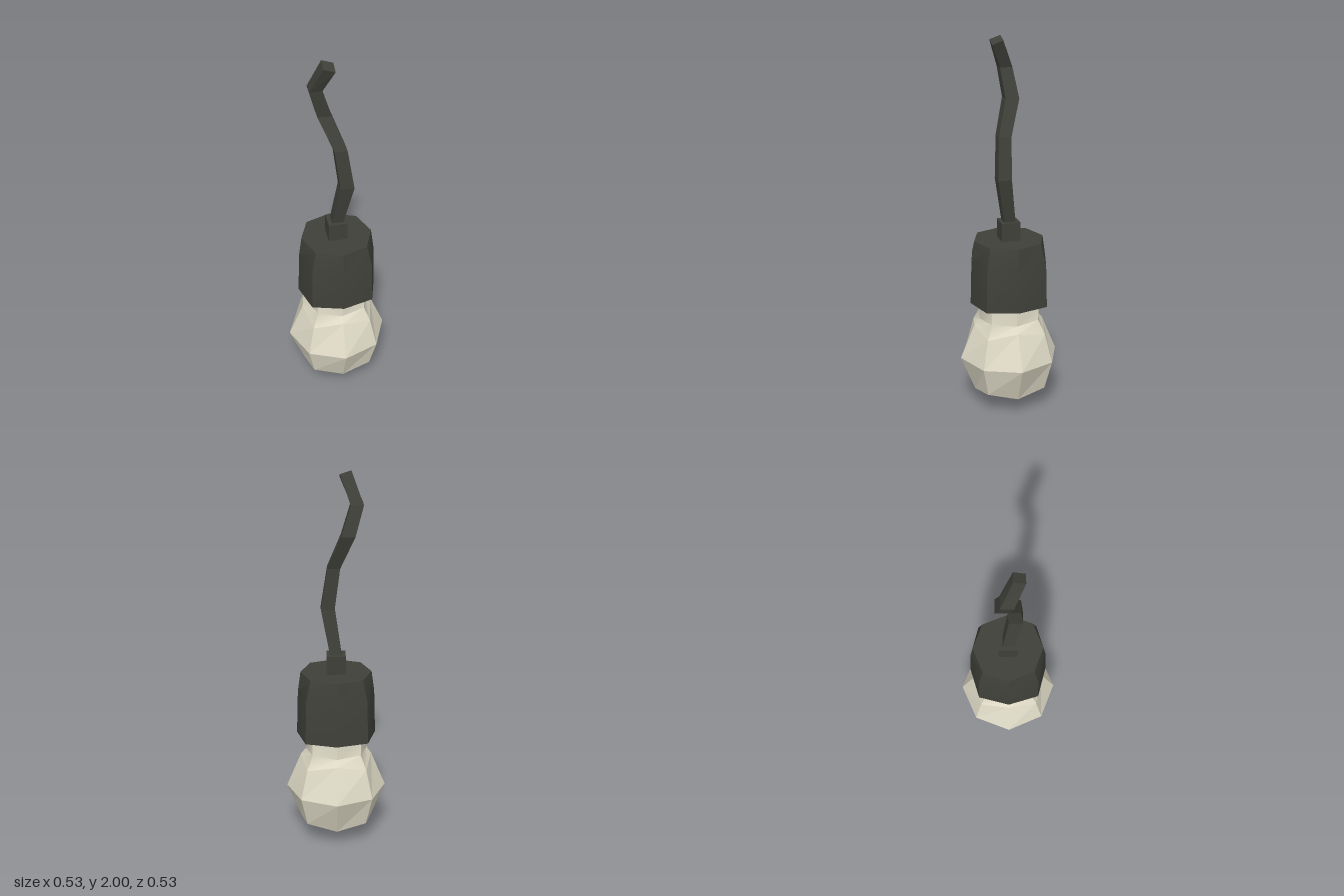
import * as THREE from 'three';
import { toCreasedNormals } from 'three/addons/utils/BufferGeometryUtils.js';

// Skin a stack of rings (bottom to top, counterclockwise from above)
function loft(rings, crease = 0) {
  const pos = [];
  const tri = (...pts) => {
    const [a, b, c] = pts;
    if (a.distanceTo(b) < 1e-6 || b.distanceTo(c) < 1e-6 || a.distanceTo(c) < 1e-6) return;
    pts.forEach((p) => pos.push(p.x, p.y, p.z));
  };
  for (let i = 0; i + 1 < rings.length; i++) {
    const lo = rings[i], up = rings[i + 1], n = lo.length;
    for (let k = 0; k < n; k++) {
      const m = (k + 1) % n;
      tri(lo[k], lo[m], up[m]);
      tri(lo[k], up[m], up[k]);
    }
  }
  const g = new THREE.BufferGeometry();
  g.setAttribute('position', new THREE.Float32BufferAttribute(pos, 3));
  g.computeVertexNormals();
  return crease ? toCreasedNormals(g, crease) : g;
}

// Eight-point ring: points on the axes at radius r, corners at (c, c)
function octagon([r, y, c, cornerY = y]) {
  return Array.from({ length: 8 }, (_, k) => {
    const a = (k * Math.PI) / 4;
    const odd = k % 2 === 1;
    const d = odd ? c * Math.SQRT2 : r;
    return new THREE.Vector3(Math.sin(a) * d, odd ? cornerY : y, Math.cos(a) * d);
  });
}

// Four-point ring; tilt lifts the end towards -x and -z
function square([x, y, z, h, tiltX = 0, tiltZ = 0]) {
  return [[-1, 1], [1, 1], [1, -1], [-1, -1]].map(([sx, sz]) =>
    new THREE.Vector3(x + sx * h, y - sx * tiltX - sz * tiltZ, z + sz * h));
}

export function createModel() {
  const glass = new THREE.MeshStandardMaterial({ color: 0xdedac6 });
  glass.name = 'creamGlass';
  const dark = new THREE.MeshStandardMaterial({ color: 0x40403a });
  dark.name = 'darkPlastic';

  const model = new THREE.Group();
  model.name = 'hangingLightBulb';
  const add = (name, geometry, material) => {
    const mesh = new THREE.Mesh(geometry, material);
    mesh.name = name;
    model.add(mesh);
    return mesh;
  };

  // Faceted bulb: pointed base, lower ring, equator, shoulder
  add('bulb', loft([
    [0, 0, 0],
    [0.19, 0.088, 0.157, 0.12],
    [0.267, 0.28, 0.189],
    [0.19, 0.467, 0.157, 0.435],
  ].map(octagon)), glass);

  // Squarish neck flaring into the shoulder
  add('bulbNeck', loft([
    [0.19, 0.467, 0.157, 0.435],
    [0.162, 0.5, 0.128, 0.51],
    [0.162, 0.61, 0.128],
  ].map(octagon), 0.6), glass);

  // Socket with closed underside, tapered wall and flat top
  add('socket', loft([
    [0, 0.595, 0],
    [0.21, 0.595, 0.164],
    [0.203, 0.83, 0.159],
    [0.188, 0.94, 0.136],
    [0, 0.94, 0],
  ].map(octagon), 0.6), dark);

  // Cord grip on top of the socket
  const grip = add('cordGrip', new THREE.BoxGeometry(0.1, 0.11, 0.1), dark);
  grip.position.y = 0.985;

  // Kinked square cord
  add('cord', loft([
    [0, 1.03, 0, 0.03],
    [0.043, 1.28, 0.04, 0.036],
    [0.012, 1.5, 0.03, 0.033],
    [-0.06, 1.68, -0.028, 0.036],
    [-0.105, 1.835, -0.008, 0.033],
    [-0.048, 1.98, 0.05, 0.029, 0.01, 0.01],
    [-0.048, 1.98, 0.05, 0],
  ].map(square)), dark);

  return model;
}
